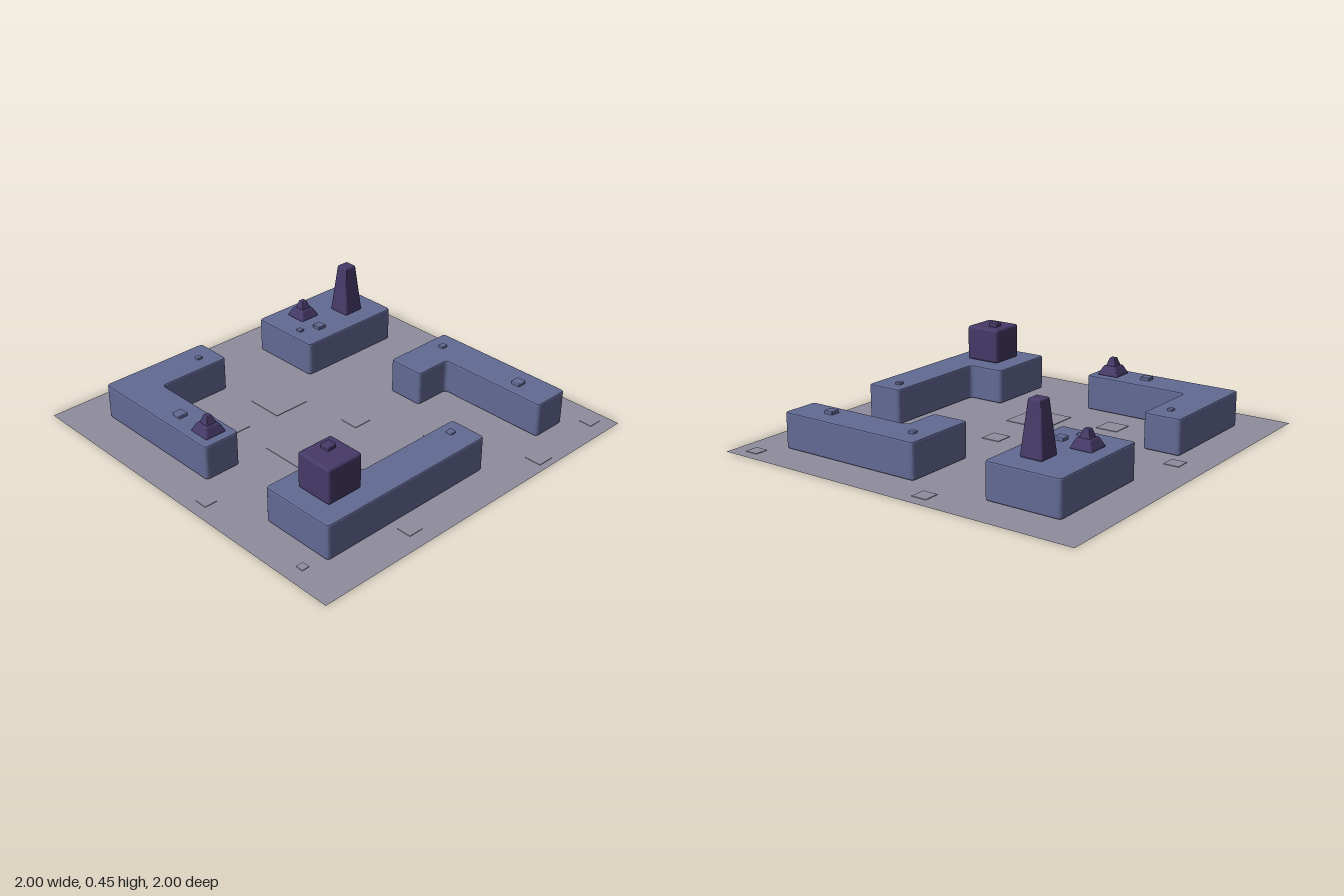
import * as THREE from 'three';
import { RoundedBoxGeometry } from 'three/addons/geometries/RoundedBoxGeometry.js';

const TOP = 0.187; // height of the wall blocks

export function createModel() {
  const model = new THREE.Group();
  model.name = 'courtyard';
  const floorMat = new THREE.MeshStandardMaterial({ name: 'floor grey', color: 0x8f8c9c, side: THREE.DoubleSide });
  const wallMat = new THREE.MeshStandardMaterial({ name: 'wall blue', color: 0x636a94 });
  const darkMat = new THREE.MeshStandardMaterial({ name: 'dark purple', color: 0x463a68 });

  function add(name, geometry, material, x = 0, y = 0, z = 0) {
    const mesh = new THREE.Mesh(geometry, material);
    mesh.name = name;
    mesh.position.set(x, y, z);
    model.add(mesh);
    return mesh;
  }

  // Outline with rounded corners from a list of [x, z] corners
  function roundedOutline(points, r) {
    const p = points.map(([x, z]) => new THREE.Vector2(x, -z));
    const shape = new THREE.Shape();
    p.forEach((c, i) => {
      const prev = p[(i + p.length - 1) % p.length];
      const next = p[(i + 1) % p.length];
      const a = prev.clone().sub(c).setLength(r).add(c);
      const b = next.clone().sub(c).setLength(r).add(c);
      if (i === 0) shape.moveTo(a.x, a.y);
      else shape.lineTo(a.x, a.y);
      shape.quadraticCurveTo(c.x, c.y, b.x, b.y);
    });
    shape.closePath();
    return shape;
  }

  // Upright block with softened edges
  function wallBlock(name, points) {
    const bevel = 0.008;
    const geo = new THREE.ExtrudeGeometry(roundedOutline(points, 0.022), {
      depth: TOP - 0.003 - 2 * bevel, curveSegments: 4,
      bevelEnabled: true, bevelThickness: bevel, bevelSize: bevel, bevelOffset: -bevel, bevelSegments: 2,
    });
    geo.rotateX(-Math.PI / 2);
    add(name, geo, wallMat, 0, 0.003 + bevel, 0);
  }

  // Rounded block narrowing from width w0 at the base to w1 at the top
  function taper(w0, w1, h, r) {
    const geo = new RoundedBoxGeometry(w0, h, w0, 2, r);
    const pos = geo.attributes.position;
    for (let i = 0; i < pos.count; i++) {
      const t = pos.getY(i) / h + 0.5;
      const s = 1 + (w1 / w0 - 1) * t;
      pos.setXYZ(i, pos.getX(i) * s, pos.getY(i) + h / 2, pos.getZ(i) * s);
    }
    if (w0 !== w1) geo.computeVertexNormals();
    return geo;
  }

  // Ground sheet and its barely raised paving plates
  add('ground', new THREE.PlaneGeometry(2, 2).rotateX(-Math.PI / 2), floorMat);
  const plates = [
    [-0.3, 0.08, 0.24], [-0.09, -0.32, 0.2], [-0.41, -0.3, 0.12], [0.07, 0.08, 0.1],
    [0.47, 0.92, 0.09], [-0.38, 0.88, 0.08], [0.91, 0.89, 0.07], [-0.11, -0.83, 0.08],
    [0.25, 0.45, 0.08], [0.9, -0.15, 0.08], [-0.9, 0.1, 0.07], [-0.9, 0.75, 0.04],
  ];
  for (const [x, z, s] of plates) {
    add('pavingPlate', new THREE.BoxGeometry(s, 0.003, s), floorMat, x, 0.002, z);
  }

  // Four wall blocks
  wallBlock('backRightWall', [[-0.8, -0.8], [-0.8, -0.02], [-0.6, -0.02], [-0.6, -0.6], [-0.2, -0.6], [-0.2, -0.8]]);
  wallBlock('backLeftWall', [[0.2, -0.8], [0.2, -0.4], [0.8, -0.4], [0.8, -0.8]]);
  wallBlock('frontLeftWall', [[0.4, 0], [0.4, 0.2], [0.6, 0.2], [0.6, 0.8], [0.8, 0.8], [0.8, 0]]);
  wallBlock('frontRightWall', [[-0.8, 0.4], [-0.8, 0.8], [0.2, 0.8], [0.2, 0.6], [-0.4, 0.6], [-0.4, 0.4]]);

  // Small studs on the wall tops
  const studs = [
    [-0.305, -0.69, 0.03], [-0.71, -0.32, 0.05], [0.27, -0.55, 0.03], [0.37, -0.51, 0.05],
    [0.69, 0.09, 0.033], [0.685, 0.6, 0.05], [0.11, 0.67, 0.033],
  ];
  for (const [x, z, s] of studs) {
    add('stud', taper(s, s, s * 0.3 + 0.006, 0.004), wallMat, x, TOP - 0.004, z);
  }

  // Cube with a cap
  add('cube', taper(0.2, 0.2, 0.187, 0.015), darkMat, -0.6, TOP, 0.6);
  add('cubeCap', taper(0.05, 0.05, 0.026, 0.006), darkMat, -0.58, 0.37, 0.57);

  // Tall tapering tower
  add('tower', taper(0.122, 0.068, 0.265, 0.01), darkMat, 0.62, TOP, -0.56);

  // Low stepped spires
  for (const [x, z] of [[0.4, -0.67], [-0.7, -0.12]]) {
    add('spireBase', taper(0.122, 0.074, 0.05, 0.008), darkMat, x, TOP, z);
    add('spireTip', taper(0.062, 0.028, 0.05, 0.005), darkMat, x, 0.228, z);
  }

  return model;
}
